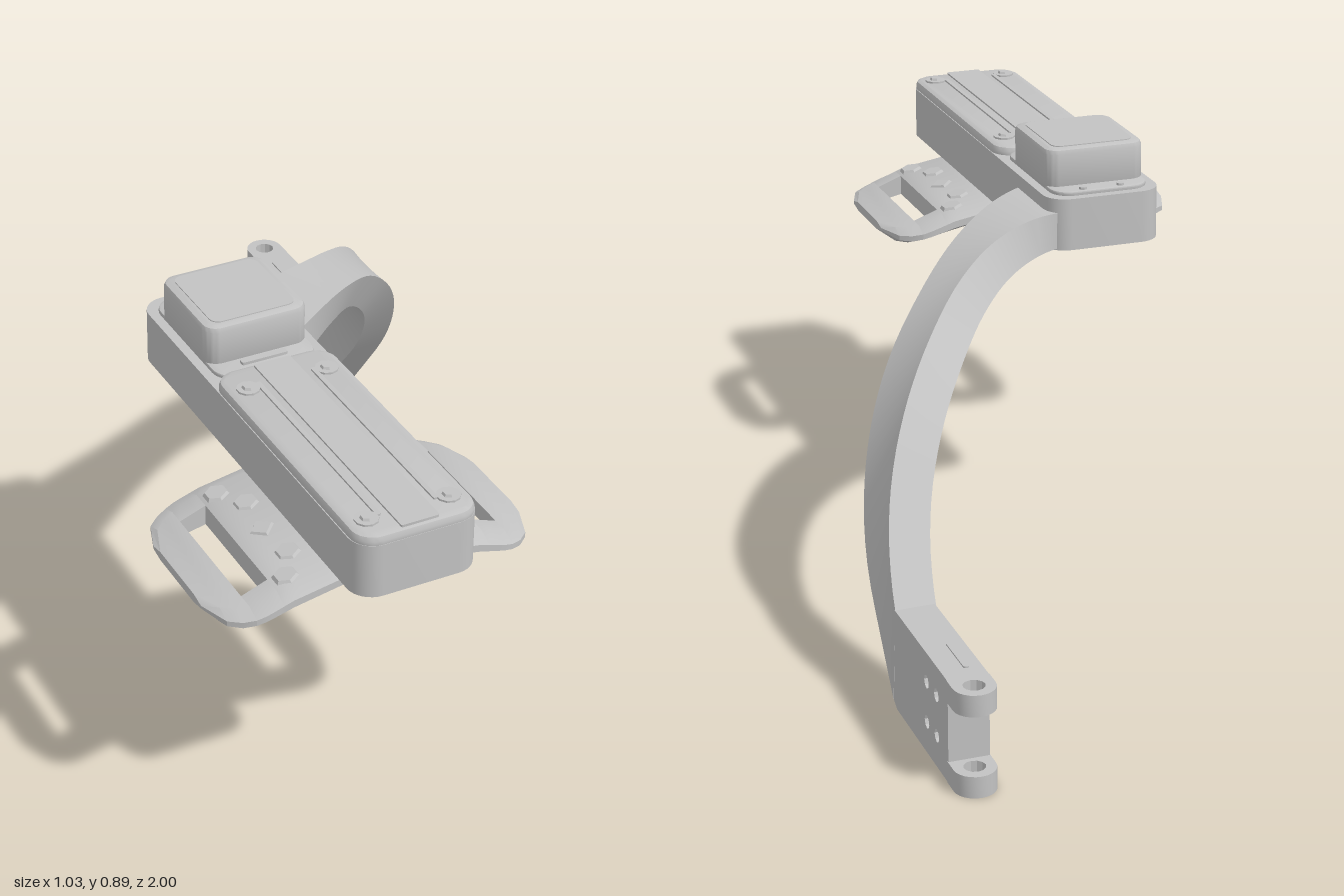
import * as THREE from 'three';
import { toCreasedNormals } from 'three/addons/utils/BufferGeometryUtils.js';

const CX = -0.175; // centre line of the housing and pad

export function createModel() {
  const group = new THREE.Group();
  const grey = new THREE.MeshStandardMaterial({ color: 0xc2c2c2 });
  grey.name = 'light grey plastic';

  const add = (name, geo, x = 0, y = 0, z = 0) => {
    const mesh = new THREE.Mesh(toCreasedNormals(geo, 0.5), grey);
    mesh.name = name;
    mesh.position.set(x, y, z);
    group.add(mesh);
    return mesh;
  };

  // Rounded rectangle in plan
  const roundRect = (w, d, r) => {
    const s = new THREE.Shape();
    const a = w / 2 - r, b = d / 2 - r;
    s.absarc(a, b, r, 0, Math.PI / 2);
    s.absarc(-a, b, r, Math.PI / 2, Math.PI);
    s.absarc(-a, -b, r, Math.PI, Math.PI * 1.5);
    s.absarc(a, -b, r, Math.PI * 1.5, Math.PI * 2);
    return s;
  };
  // Upright block with rounded corners and bevelled rims, base at y = 0
  const block = (w, d, h, r, bevel = 0) => {
    const geo = new THREE.ExtrudeGeometry(roundRect(w - 2 * bevel, d - 2 * bevel, r), {
      depth: h - 2 * bevel, curveSegments: 4,
      bevelEnabled: bevel > 0, bevelSize: bevel, bevelThickness: bevel, bevelSegments: 2,
    });
    return geo.translate(0, 0, bevel).rotateX(-Math.PI / 2);
  };

  // Housing
  add('housing', block(0.26, 0.97, 0.115, 0.05), CX, 0.685, 0.515);
  add('housingCover', block(0.256, 0.63, 0.035, 0.035, 0.012), CX, 0.785, 0.684);
  add('coverSpine', block(0.08, 0.61, 0.008, 0.004), CX, 0.816, 0.685);
  for (const side of [-1, 1]) {
    add('coverRail', block(0.01, 0.5, 0.006, 0.003), CX + side * 0.06, 0.818, 0.69);
    for (const z of [0.45, 0.94]) {
      add('screw', new THREE.CylinderGeometry(0.024, 0.024, 0.012, 10), CX + side * 0.086, 0.818, z);
      add('screwHead', new THREE.CylinderGeometry(0.011, 0.014, 0.006, 6), CX + side * 0.086, 0.826, z);
    }
    add('rearScrew', new THREE.CylinderGeometry(0.009, 0.009, 0.008, 8), CX + side * 0.043, 0.81, 0.065);
  }
  add('rearDeck', block(0.22, 0.33, 0.012, 0.04, 0.004), CX, 0.797, 0.215);
  add('motorBox', block(0.226, 0.232, 0.095, 0.02, 0.012), CX, 0.797, 0.21);
  add('motorLid', block(0.185, 0.195, 0.006, 0.02), CX, 0.888, 0.21);
  add('connector', block(0.1, 0.015, 0.01, 0.004), CX, 0.805, 0.345);

  // Neck between housing and pad
  const neck = new THREE.CylinderGeometry(0.072, 0.105, 0.05, 4, 1).rotateY(Math.PI / 4);
  add('padNeck', neck, CX, 0.672, 0.625);

  // Curved strap pad, made of bent slabs around the two slots
  const lerpTable = (t, v) => {
    for (let i = 1; i < t.length; i++) {
      if (v <= t[i][0]) {
        const k = (v - t[i - 1][0]) / (t[i][0] - t[i - 1][0]);
        return t[i - 1][1] + k * (t[i][1] - t[i - 1][1]);
      }
    }
    return t[t.length - 1][1];
  };
  const padTop = d => lerpTable([[0, 0.665], [0.1, 0.662], [0.2, 0.645], [0.28, 0.615], [0.345, 0.605]], d);
  const padBottom = d => lerpTable([[0, 0.62], [0.085, 0.62], [0.2, 0.598], [0.3, 0.575], [0.33, 0.576], [0.345, 0.586]], d);
  const halfDepth = d => 0.107 + (d < 0.245 ? 0.1 : Math.sqrt(Math.max(0, 0.01 - (d - 0.245) ** 2)));
  const slab = (x0, x1, zLow, zHigh, bevelLow, bevelHigh) => {
    const geo = new THREE.BoxGeometry(1, 1, 1, Math.max(2, Math.round((x1 - x0) / 0.02)), 3, 1);
    const p = geo.attributes.position;
    for (let i = 0; i < p.count; i++) {
      const dx = x0 + (p.getX(i) + 0.5) * (x1 - x0), d = Math.abs(dx);
      const v = p.getY(i) + 0.5, t = p.getZ(i) + 0.5;
      const inset = v < 0.1 || v > 0.9 ? 0.032 : 0;
      const a = zLow(d) + (bevelLow ? inset : 0), b = zHigh(d) - (bevelHigh ? inset : 0);
      p.setXYZ(i, dx, padBottom(d) + v * (padTop(d) - padBottom(d)), a + t * (b - a));
    }
    return geo;
  };
  const back = d => -halfDepth(d), front = d => halfDepth(d);
  const slotBack = () => -0.135, slotFront = () => 0.135;
  const padZ = 0.668;
  add('padCentre', slab(-0.22, 0.22, back, front, true, true), CX, 0, padZ);
  for (const s of [-1, 1]) {
    const span = (a, b) => (s > 0 ? [a, b] : [-b, -a]);
    add('padRailBack', slab(...span(0.22, 0.275), back, slotBack, true, false), CX, 0, padZ);
    add('padRailFront', slab(...span(0.22, 0.275), slotFront, front, false, true), CX, 0, padZ);
    add('strapBar', slab(...span(0.275, 0.345), back, front, true, true), CX, 0, padZ);
    // Low relief on the wings
    for (const [d, z] of [[0.165, 0], [0.155, 0.09], [0.155, -0.09], [0.19, 0.15], [0.19, -0.15]]) {
      const stud = new THREE.CylinderGeometry(0.022, 0.03, 0.01, z === 0 ? 4 : 6);
      add('padStud', stud, CX + s * d, padTop(d), padZ + z).rotation.z = -s * 0.2;
    }
  }

  // Arm: a band following an elliptical arch while sweeping backwards
  const arch = (deg, rx, ry, z) => {
    const a = THREE.MathUtils.degToRad(Math.min(deg, 90));
    const drop = Math.max(0, deg - 90) * 0.0108;
    return [-0.03 + rx * Math.sin(a), 0.17 + ry * Math.cos(a) - drop, z];
  };
  // Back-edge angle and z, front-edge angle and z
  const stations = [
    [-5, 0.045, -5, 0.26], [4, 0.012, 6, 0.18], [15, -0.045, 20, 0.065], [26, -0.125, 36, -0.07],
    [40, -0.245, 52, -0.18], [54, -0.355, 68, -0.295], [70, -0.475, 84, -0.415], [86, -0.605, 104.5, -0.585],
  ];
  const backEdge = new THREE.CatmullRomCurve3(stations.map(s => new THREE.Vector3(s[0] / 100, s[1], 0)));
  const frontEdge = new THREE.CatmullRomCurve3(stations.map(s => new THREE.Vector3(s[2] / 100, s[3], 0)));
  const steps = 35, pos = [], idx = [];
  for (let i = 0; i <= steps; i++) {
    const A = backEdge.getPoint(i / steps), B = frontEdge.getPoint(i / steps);
    const lean = 0.035 * Math.sin(Math.PI * i / steps); // inner back edge sits further back
    pos.push(...arch(A.x * 100, 0.545, 0.6, A.y), ...arch(B.x * 100, 0.545, 0.6, B.y),
      ...arch(B.x * 100, 0.46, 0.52, B.y), ...arch(A.x * 100, 0.46, 0.52, A.y - lean));
    if (i === steps) continue;
    for (let k = 0; k < 4; k++) {
      const a = i * 4 + k, b = i * 4 + (k + 1) % 4;
      idx.push(a, b, b + 4, a, b + 4, a + 4);
    }
  }
  const e = steps * 4;
  idx.push(0, 2, 1, 0, 3, 2, e, e + 1, e + 2, e, e + 2, e + 3);
  const armGeo = new THREE.BufferGeometry();
  armGeo.setAttribute('position', new THREE.Float32BufferAttribute(pos, 3));
  armGeo.setIndex(idx);
  armGeo.computeVertexNormals();
  add('arm', armGeo);

  // End plate with four cross holes
  const plate = new THREE.Shape([[-0.605, 0], [-0.582, 0.014], [-0.6, 0.215], [-0.925, 0.215], [-0.925, 0]]
    .map(([z, y]) => new THREE.Vector2(z, y)));
  for (const z of [-0.797, -0.857]) {
    for (const y of [0.067, 0.153]) {
      plate.holes.push(new THREE.Path().absarc(z, y, 0.014, 0, Math.PI * 2));
    }
  }
  const plateGeo = new THREE.ExtrudeGeometry(plate, { depth: 0.083, bevelEnabled: false, curveSegments: 4 });
  add('endPlate', plateGeo.rotateY(-Math.PI / 2), 0.514);
  add('plateRib', block(0.012, 0.11, 0.006, 0.005), 0.462, 0.212, -0.83);

  // Two hinge lugs with pin holes
  const lug = new THREE.Shape();
  lug.moveTo(-0.0425, 0.92);
  lug.lineTo(0.0425, 0.92);
  lug.absarc(0, 0.9575, 0.0425, 0, Math.PI);
  lug.holes.push(new THREE.Path().absarc(0, 0.957, 0.022, 0, Math.PI * 2));
  for (const y of [0, 0.17]) {
    const geo = new THREE.ExtrudeGeometry(lug, { depth: 0.045, bevelEnabled: false, curveSegments: 6 });
    add('hingeLug', geo.rotateX(-Math.PI / 2), 0.4725, y, 0);
  }
  return group;
}
